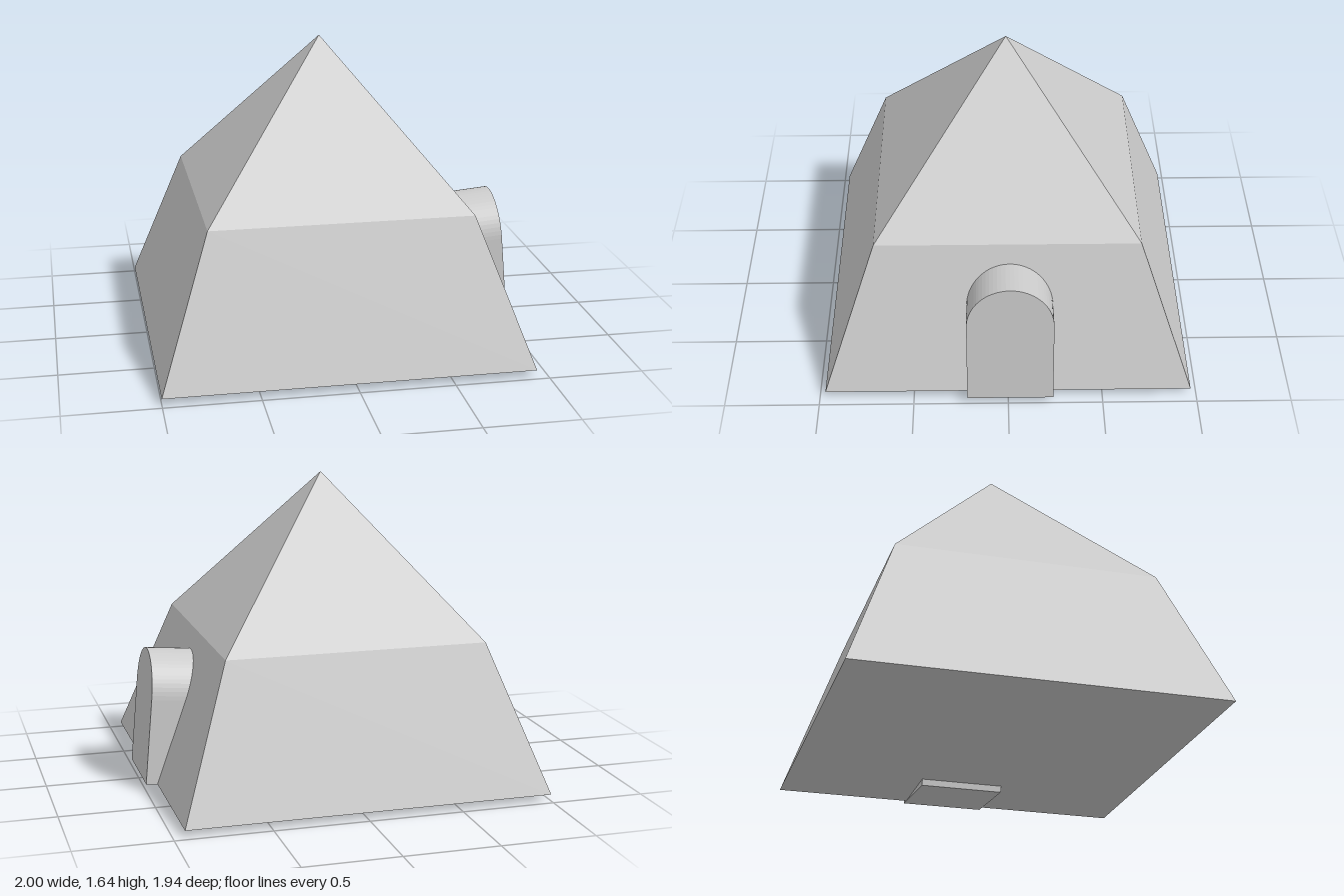
import * as THREE from 'three';

const material = new THREE.MeshStandardMaterial({ color: 0xcccccc, flatShading: true });

// Four-sided tent shell: floor, steep lower walls, shallower roof to a point
function createTent() {
  const corner = Math.SQRT2;
  const profile = [
    [0, 0.035],
    [0.97 * corner, 0.035],
    [0.695 * corner, 0.805],
    [0, 1.64],
  ].map(([r, y]) => new THREE.Vector2(r, y));
  const geometry = new THREE.LatheGeometry(profile, 4, Math.PI / 4).toNonIndexed();
  geometry.computeVertexNormals();
  const tent = new THREE.Mesh(geometry, material);
  tent.name = 'tentShell';
  tent.position.x = -0.03;
  return tent;
}

// Arched entrance block, extruded outward on +x and leaning back slightly
function createEntrance() {
  const radius = 0.227, spring = 0.461, depth = 0.457;
  const arch = new THREE.Shape();
  arch.moveTo(-radius, 0);
  arch.lineTo(radius, 0);
  arch.lineTo(radius, spring);
  arch.absarc(0, spring, radius, 0, Math.PI, false);
  arch.closePath();
  const geometry = new THREE.ExtrudeGeometry(arch, { depth, bevelEnabled: false, curveSegments: 16 });
  geometry.rotateY(Math.PI / 2);
  const entrance = new THREE.Mesh(geometry, material);
  entrance.name = 'archedEntrance';
  entrance.position.set(0.545, 0, -0.01);
  entrance.rotation.z = THREE.MathUtils.degToRad(5);
  return entrance;
}

export function createModel() {
  const model = new THREE.Group();
  model.name = 'tent';
  model.add(createTent(), createEntrance());
  return model;
}
